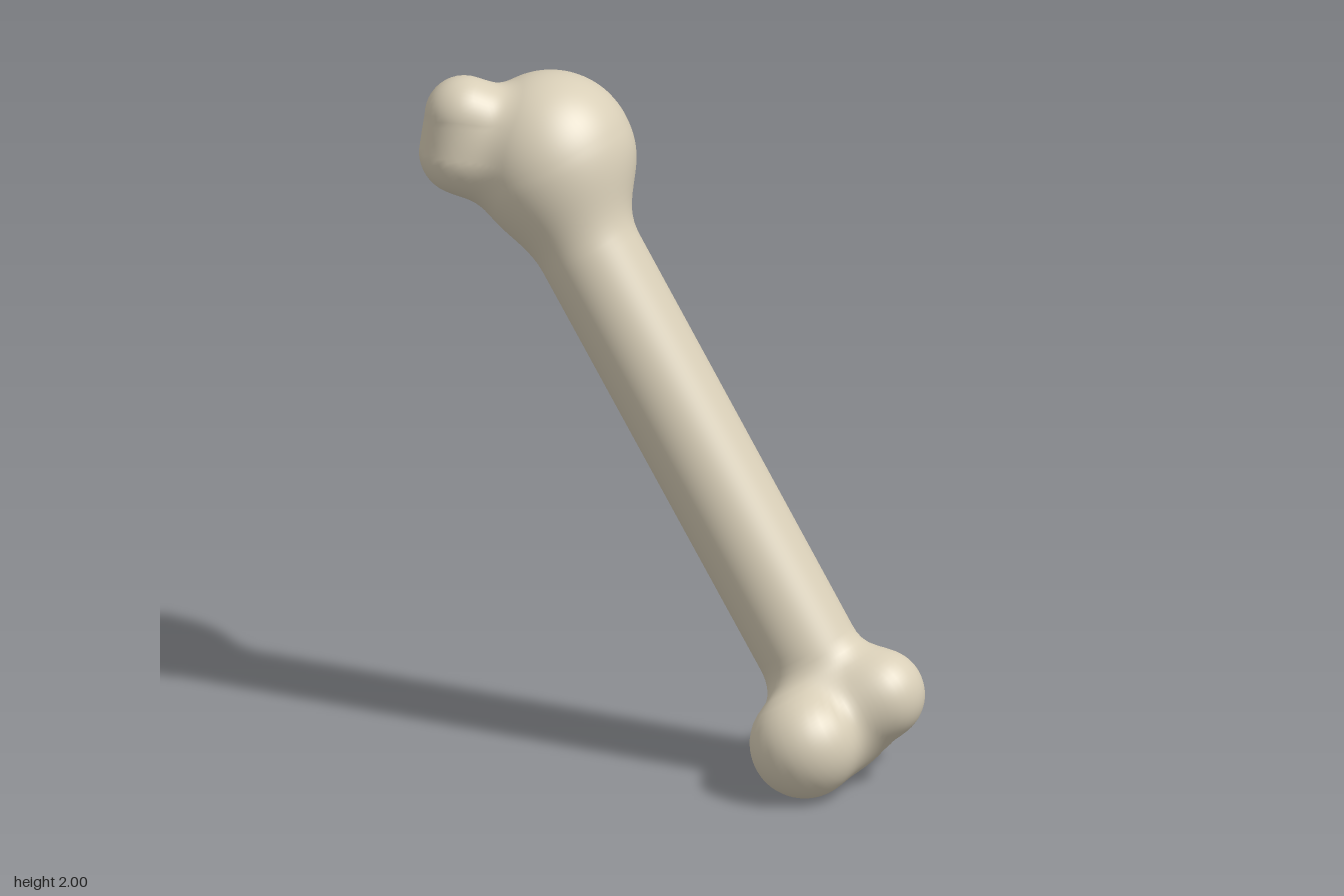
import * as THREE from 'three';

const V = (x, y, z) => new THREE.Vector3(x, y, z);

// Rounded masses of the bone: start, end, radius at start, radius at end, blend width
const masses = [
  { a: V(-0.385, 1.71, 0.03), b: V(0.47, 0.25, 0.0), ra: 0.147, rb: 0.145, k: 0 },        // shaft
  { a: V(-0.405, 1.755, -0.032), b: V(-0.4, 1.745, -0.032), ra: 0.24, rb: 0.24, k: 0.09 },  // ball head
  { a: V(-0.622, 1.885, 0.09), b: V(-0.625, 1.775, 0.09), ra: 0.112, rb: 0.126, k: 0.08 },  // side knob of the head
  { a: V(0.458, 0.158, -0.18), b: V(0.458, 0.158, 0.18), ra: 0.157, rb: 0.157, k: 0.08 },   // two lower lobes
  { a: V(0.53, 0.22, 0.0), b: V(0.613, 0.268, 0.0), ra: 0.13, rb: 0.132, k: 0.08 },         // outer lower knob
];

const ab = V(), ap = V();
function massDistance(p, m) {
  ab.subVectors(m.b, m.a);
  ap.subVectors(p, m.a);
  const t = THREE.MathUtils.clamp(ap.dot(ab) / ab.lengthSq(), 0, 1);
  return ap.addScaledVector(ab, -t).length() - THREE.MathUtils.lerp(m.ra, m.rb, t);
}

// Smoothly blended distance to all masses
function distance(p) {
  let d = massDistance(p, masses[0]);
  for (const m of masses.slice(1)) {
    const e = massDistance(p, m);
    const h = Math.max(m.k - Math.abs(d - e), 0) / m.k;
    d = Math.min(d, e) - h * h * m.k * 0.25;
  }
  return d;
}

// Outermost skin point along a ray
function skinPoint(origin, dir) {
  const at = (t) => origin.clone().addScaledVector(dir, t);
  let hi = 0.6;
  while (hi > 0.02 && distance(at(hi - 0.012)) > 0) hi -= 0.012;
  let lo = hi - 0.012;
  for (let i = 0; i < 12; i++) {
    const mid = (lo + hi) / 2;
    if (distance(at(mid)) > 0) hi = mid; else lo = mid;
  }
  return at(lo);
}

function skinNormal(p) {
  const e = 0.004;
  const slope = (x, y, z) => distance(p.clone().add(V(x, y, z))) - distance(p.clone().sub(V(x, y, z)));
  return V(slope(e, 0, 0), slope(0, e, 0), slope(0, 0, e)).normalize();
}

// Rings of skin points around the axis, fanning out over both ends
function boneGeometry(around = 72, fan = 32, along = 72) {
  const top = V(-0.43, 1.77, 0.02), bottom = V(0.495, 0.195, 0);
  const axis = bottom.clone().sub(top).normalize();
  const v = V(0, 0, 1).addScaledVector(axis, -axis.z).normalize();
  const u = v.clone().cross(axis);

  const stations = [];
  for (let i = 0; i < fan; i++) stations.push({ o: top, phi: (i / fan) * Math.PI / 2 });
  for (let i = 0; i <= along; i++) {
    const t = i / along;
    const s = 0.35 * t + 0.65 * (0.5 - 0.5 * Math.cos(Math.PI * t)); // closer rings near the ends
    stations.push({ o: top.clone().lerp(bottom, s), phi: Math.PI / 2 });
  }
  for (let i = 1; i <= fan; i++) stations.push({ o: bottom, phi: (1 + i / fan) * Math.PI / 2 });

  const positions = [], normals = [], index = [];
  stations.forEach(({ o, phi }, i) => {
    for (let j = 0; j < around; j++) {
      const th = (j / around) * Math.PI * 2;
      const dir = axis.clone().multiplyScalar(-Math.cos(phi))
        .addScaledVector(u, Math.cos(th) * Math.sin(phi))
        .addScaledVector(v, Math.sin(th) * Math.sin(phi));
      const p = skinPoint(o, dir);
      positions.push(...p.toArray());
      normals.push(...skinNormal(p).toArray());
      if (i + 1 < stations.length) {
        const a = i * around + j, b = i * around + (j + 1) % around;
        index.push(a, b, b + around, a, b + around, a + around);
      }
    }
  });
  const g = new THREE.BufferGeometry();
  g.setAttribute('position', new THREE.Float32BufferAttribute(positions, 3));
  g.setAttribute('normal', new THREE.Float32BufferAttribute(normals, 3));
  g.setIndex(index);
  return g;
}

export function createModel() {
  const ivory = new THREE.MeshStandardMaterial({ color: 0xd8ceb7 });
  ivory.name = 'ivory';
  const bone = new THREE.Mesh(boneGeometry(), ivory);
  bone.name = 'bone';
  const model = new THREE.Group();
  model.name = 'legBone';
  model.add(bone);
  return model;
}
